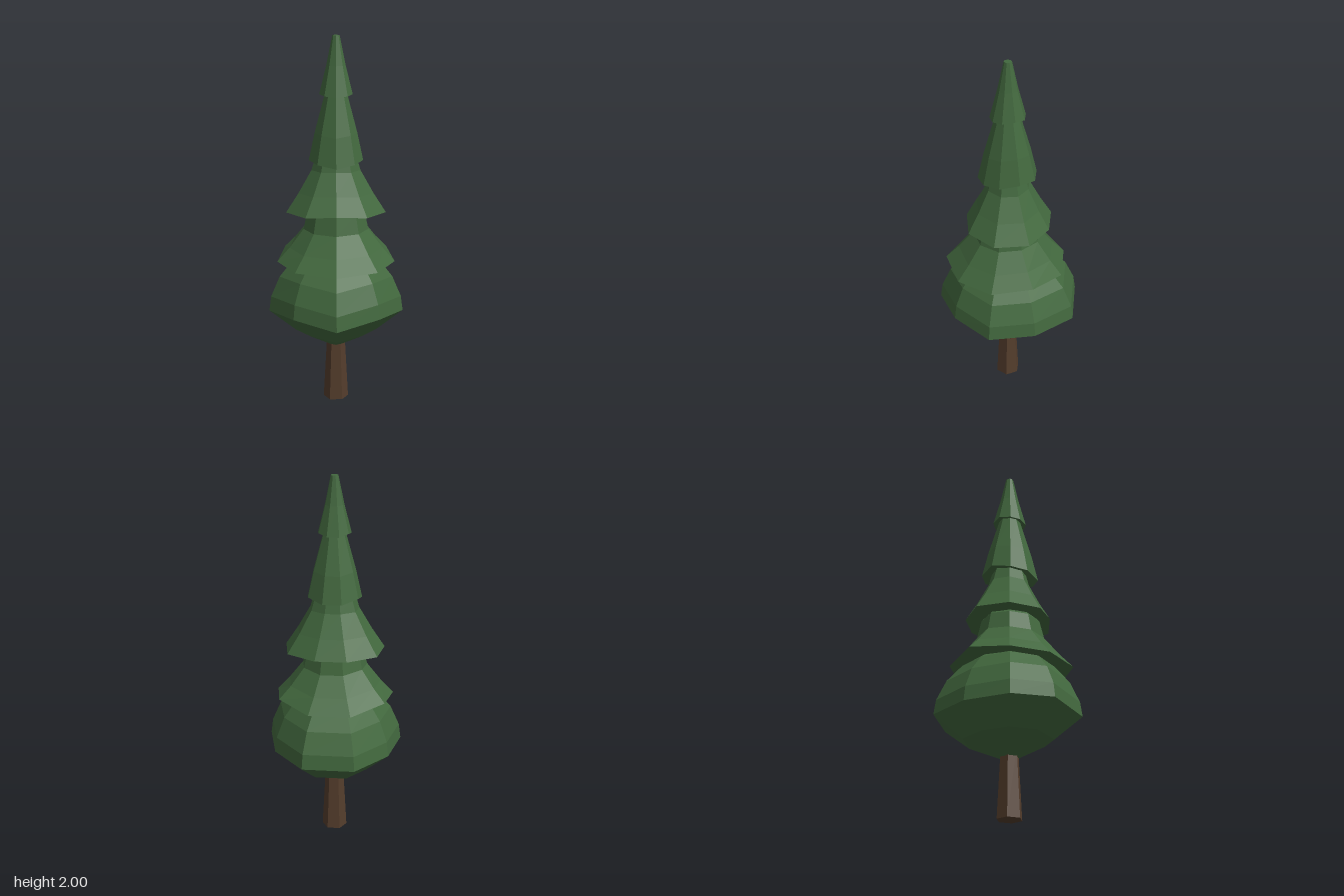
import * as THREE from 'three';

const CENTRE_Z = -0.005;

// Each tier: five rim corners [x, y, z] from front to back (mirrored to nine),
// then rings [scale of the rim, height], with the rim itself at scale 1.
const TIERS = [
  {
    name: 'bottomFoliage',
    rim: [[0, 0.52, 0.375], [0.225, 0.55, 0.263], [0.362, 0.53, 0.06], [0.305, 0.53, -0.183], [0.137, 0.53, -0.377]],
    rings: [[0.12, 0.32], [0.61, 0.41], [1, 0.53], [0.97, 0.61], [0.84, 0.72], [0.64, 0.81], [0.3, 0.9]],
  },
  {
    name: 'lowerFoliage',
    rim: [[0, 0.8, 0.335], [0.215, 0.8, 0.24], [0.315, 0.805, 0.05], [0.28, 0.83, -0.165], [0.11, 0.805, -0.305]],
    rings: [[0.4, 0.83], [1, 0.805], [0.79, 0.88], [0.55, 0.98], [0.48, 1.08], [0.3, 1.15]],
  },
  {
    name: 'middleFoliage',
    rim: [[0, 1.09, 0.215], [0.16, 1.08, 0.185], [0.265, 1.075, 0.04], [0.235, 1.08, -0.14], [0.083, 1.08, -0.23]],
    rings: [[0.4, 1.1], [1, 1.08], [0.75, 1.18], [0.49, 1.3], [0.41, 1.37], [0.25, 1.43]],
  },
  {
    name: 'upperFoliage',
    rim: [[0, 1.33, 0.153], [0.097, 1.345, 0.11], [0.143, 1.355, 0.025], [0.13, 1.375, -0.08], [0.05, 1.36, -0.15]],
    rings: [[0.4, 1.38], [1, 1.355], [0.78, 1.5], [0.41, 1.7], [0.25, 1.78]],
  },
  {
    name: 'topFoliage',
    rim: [[0, 1.69, 0.088], [0.06, 1.695, 0.065], [0.087, 1.7, 0.015], [0.077, 1.71, -0.05], [0.032, 1.7, -0.092]],
    rings: [[0.4, 1.72], [1, 1.7], [0.57, 1.85], [0.22, 2]],
  },
];

// Joins the rings into a closed faceted solid
function tierGeometry({ rim, rings }) {
  const corners = [...rim, ...rim.slice(1).reverse().map(([x, y, z]) => [-x, y, z])];
  const n = corners.length;
  const rimY = rings.find((r) => r[0] === 1)[1];
  const pos = [];
  const index = [];
  rings.forEach(([s, y], r) => {
    // the uneven rim height fades out towards the ends
    const wave = r === 0 || r === rings.length - 1 ? 0 : s * s;
    for (const [x, cy, z] of corners) {
      pos.push(x * s, y + (cy - rimY) * wave, CENTRE_Z + (z - CENTRE_Z) * s);
    }
  });
  for (let r = 0; r < rings.length - 1; r++) {
    for (let i = 0; i < n; i++) {
      const a = r * n + i;
      const b = r * n + ((i + 1) % n);
      index.push(a, b, b + n, a, b + n, a + n);
    }
  }
  // end caps
  const last = (rings.length - 1) * n;
  for (let i = 1; i < n - 1; i++) {
    index.push(0, i + 1, i, last, last + i, last + i + 1);
  }
  const g = new THREE.BufferGeometry();
  g.setAttribute('position', new THREE.Float32BufferAttribute(pos, 3));
  g.setIndex(index);
  const flat = g.toNonIndexed();
  flat.computeVertexNormals();
  return flat;
}

export function createModel() {
  const tree = new THREE.Group();
  tree.name = 'pineTree';
  const leaf = new THREE.MeshStandardMaterial({ color: 0x42683e, flatShading: true });
  const bark = new THREE.MeshStandardMaterial({ color: 0x543d2c, flatShading: true });

  // tapered six-sided trunk with corners on the left and right
  const trunkGeo = new THREE.CylinderGeometry(0.048, 0.068, 0.37, 6);
  trunkGeo.rotateY(Math.PI / 2);
  const trunk = new THREE.Mesh(trunkGeo, bark);
  trunk.name = 'trunk';
  trunk.position.set(0, 0.185, CENTRE_Z);
  tree.add(trunk);

  // stacked foliage
  for (const tier of TIERS) {
    const mesh = new THREE.Mesh(tierGeometry(tier), leaf);
    mesh.name = tier.name;
    tree.add(mesh);
  }
  return tree;
}
